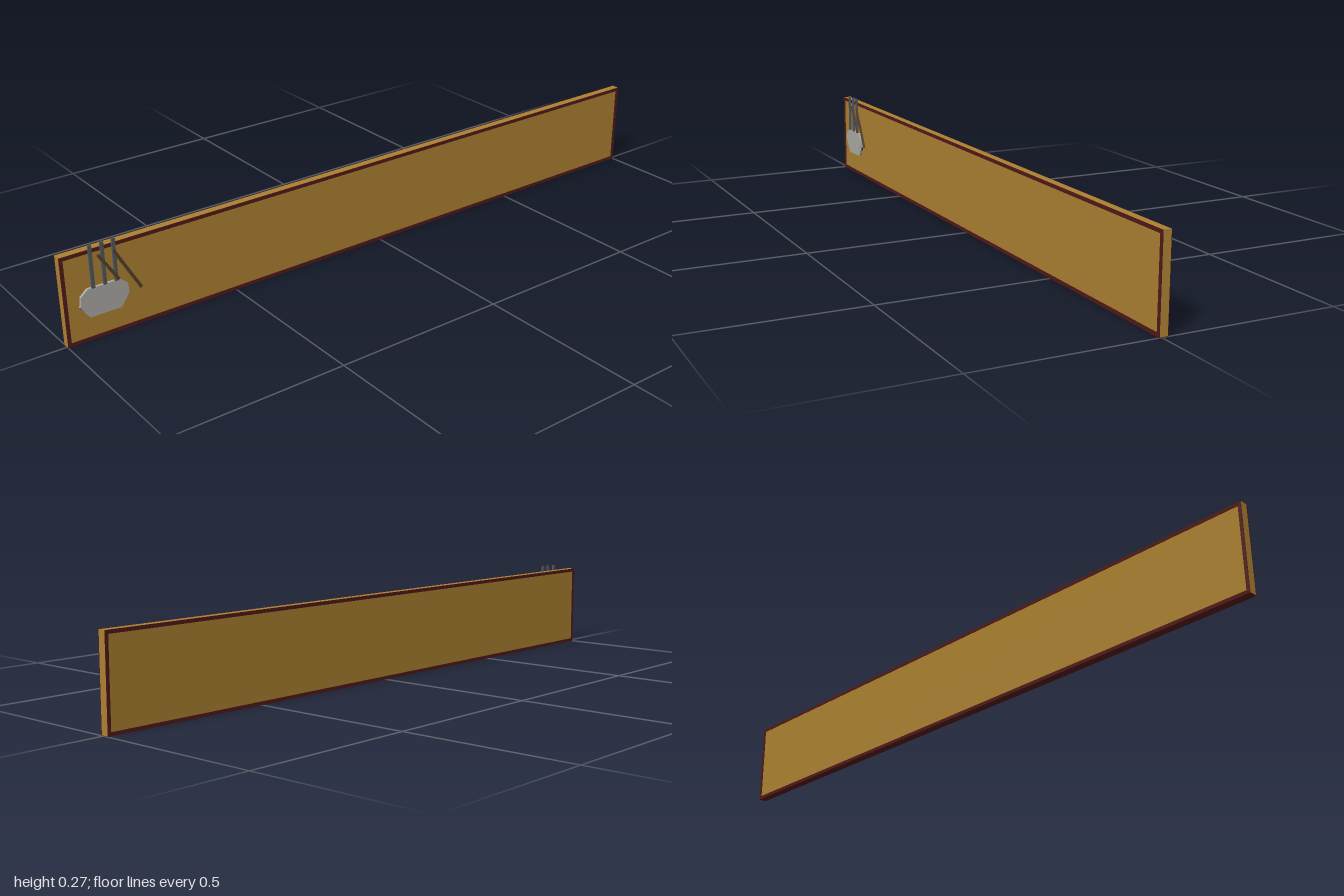
import * as THREE from 'three';

const mat = (color) => new THREE.MeshStandardMaterial({ color, flatShading: true });

export function createModel() {
  const model = new THREE.Group();
  const gold = mat(0xab8030), maroon = mat(0x501818), grey = mat(0xaaa8a2);
  const steel = mat(0x50575c), wood = mat(0x54402a);

  const box = (name, size, pos, material, tilt = 0) => {
    const mesh = new THREE.Mesh(new THREE.BoxGeometry(...size), material);
    mesh.name = name;
    mesh.position.set(...pos);
    mesh.rotation.z = tilt;
    model.add(mesh);
  };
  // Flat plate cut from an outline, with its back at z
  const plate = (name, points, z, depth, material) => {
    const shape = new THREE.Shape(points.map(([x, y]) => new THREE.Vector2(x, y)));
    const geometry = new THREE.ExtrudeGeometry(shape, { depth, bevelEnabled: false });
    const mesh = new THREE.Mesh(geometry, material);
    mesh.name = name;
    mesh.position.z = z;
    model.add(mesh);
  };

  // Board
  const H = 0.254;
  box('board', [2, H - 0.001, 0.022], [0, H / 2 + 0.0005, -0.0055], gold);
  box('bottomStrip', [2, 0.001, 0.022], [0, 0.0005, -0.0055], maroon);

  // Border on the front and the back
  const frame = new THREE.Shape([[-1, 0], [1, 0], [1, H], [-1, H]].map(p => new THREE.Vector2(...p)));
  const b = 0.01;
  frame.holes.push(new THREE.Path([[b - 1, b], [b - 1, H - b], [1 - b, H - b], [1 - b, b]].map(p => new THREE.Vector2(...p))));
  for (const [name, z, depth] of [['frontBorder', 0.0055, 0.002], ['backBorder', -0.0175, 0.001]]) {
    const mesh = new THREE.Mesh(new THREE.ExtrudeGeometry(frame, { depth, bevelEnabled: false }), maroon);
    mesh.name = name;
    mesh.position.z = z;
    model.add(mesh);
  }

  // Bowl: faceted body, dark rim and rounded contents
  const cx = -0.89;
  plate('bowlBody', [[-0.07, 0.105], [-0.045, 0.068], [0.045, 0.068], [0.07, 0.105], [0.05, 0.13], [-0.05, 0.13]]
    .map(([x, y]) => [cx + x, y]), 0.006, 0.006, grey);
  plate('bowlRim', [[-0.071, 0.104], [-0.062, 0.092], [0.062, 0.092], [0.071, 0.104], [0.06, 0.115], [-0.06, 0.115]]
    .map(([x, y]) => [cx + x, y]), 0.006, 0.0055, steel);
  plate('bowlContents', [[-0.068, 0.11], [-0.04, 0.095], [0.04, 0.095], [0.068, 0.11], [0.066, 0.132], [0.045, 0.15], [-0.045, 0.15], [-0.066, 0.132]]
    .map(([x, y]) => [cx + x, y]), 0.006, 0.008, grey);

  // Upright rods of steam
  for (const x of [-0.92, -0.887, -0.855])
    box('steamRod', [0.009, 0.12, 0.006], [x, 0.21, 0.0145], steel);

  // Slanted chopsticks
  for (const [x0, y0, x1, y1] of [[-0.9, 0.237, -0.848, 0.152], [-0.857, 0.237, -0.788, 0.11]]) {
    const dx = x1 - x0, dy = y1 - y0;
    box('chopstick', [0.008, Math.hypot(dx, dy), 0.005], [(x0 + x1) / 2, (y0 + y1) / 2, 0.0152], wood, Math.atan2(-dx, dy));
  }
  return model;
}
